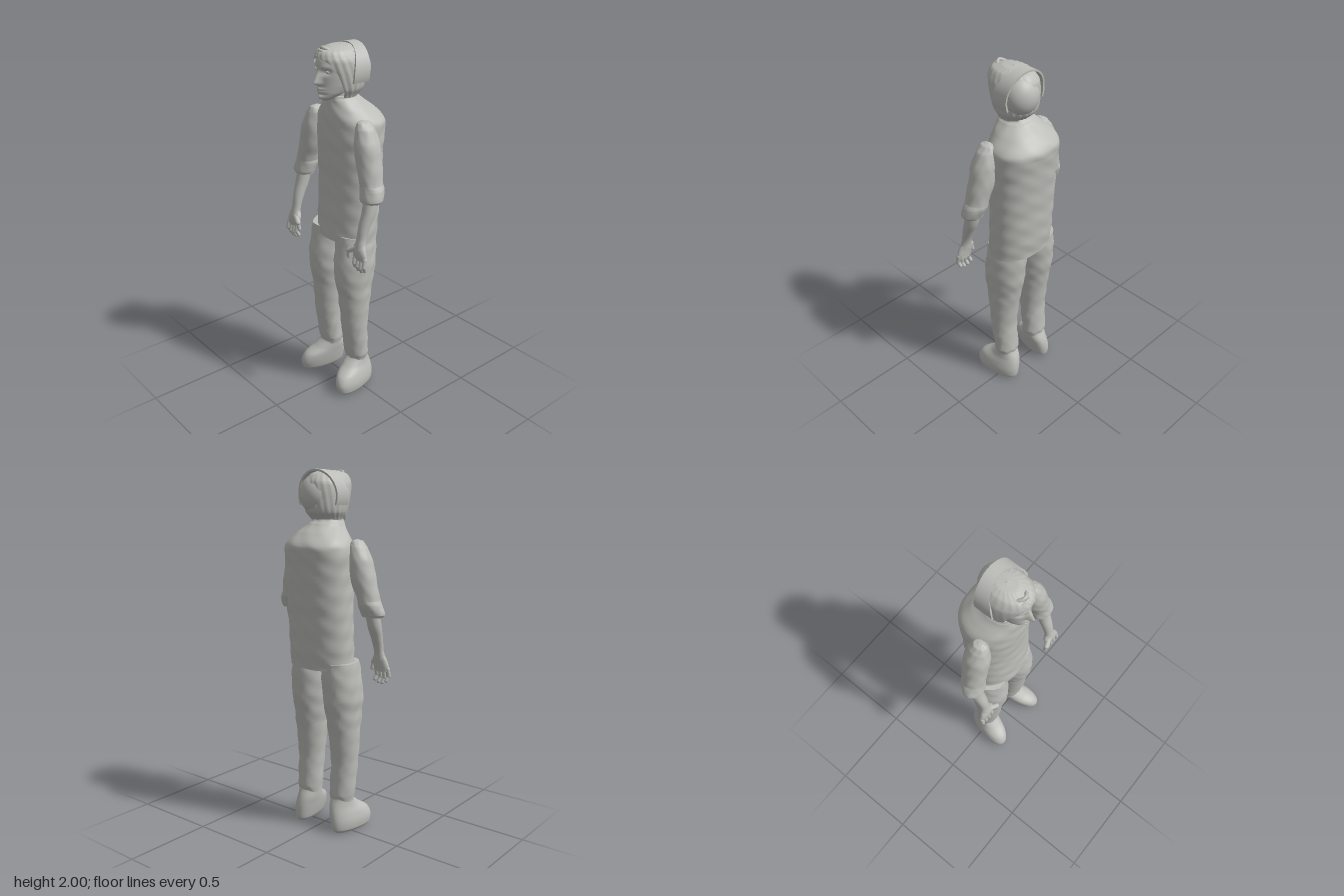
import * as THREE from 'three';

const grey = new THREE.MeshStandardMaterial({ color: 0xbcbcb8, side: THREE.DoubleSide });
grey.name = 'plain grey';

function addMesh(parent, name, geometry) {
  const mesh = new THREE.Mesh(geometry, grey);
  mesh.name = name;
  parent.add(mesh);
  return mesh;
}

// Smooth loft through sections [y, cx, cz, rx, rz, frontGap], listed bottom to top.
// frontGap is the half angle left open towards +z.
function loft(sections, { segs = 40, sub = 6, power = 2, rule = null, caps = true } = {}) {
  const at = (i, k) => sections[Math.min(Math.max(i, 0), sections.length - 1)][k] ?? 0;
  const spline = (i, f, k) => {
    const a = at(i - 1, k), b = at(i, k), c = at(i + 1, k), d = at(i + 2, k);
    const m0 = (c - a) / 2, m1 = (d - b) / 2, g = f * f, h = g * f;
    return (2 * h - 3 * g + 1) * b + (h - 2 * g + f) * m0 + (3 * g - 2 * h) * c + (h - g) * m1;
  };
  const open = sections[0].length > 5;
  const rows = (sections.length - 1) * sub, cols = open ? segs + 1 : segs;
  const pos = [], index = [];
  const round = v => Math.sign(v) * Math.abs(v) ** (2 / power);
  for (let j = 0; j <= rows; j++) {
    const i = Math.min(Math.floor(j / sub), sections.length - 2), f = j / sub - i;
    const [cx, cz, rx, rz] = [1, 2, 3, 4].map(k => spline(i, f, k));
    const y = THREE.MathUtils.lerp(at(i, 0), at(i + 1, 0), f);
    const gap = open ? Math.max(0, THREE.MathUtils.lerp(at(i, 5), at(i + 1, 5), f)) : 0;
    for (let n = 0; n < cols; n++) {
      const a = gap + (n / segs) * 2 * (Math.PI - gap);
      const p = new THREE.Vector3(cx + rx * round(Math.sin(a)), y, cz + rz * round(Math.cos(a)));
      if (rule) rule(p, a);
      pos.push(p.x, p.y, p.z);
    }
  }
  for (let j = 0; j < rows; j++) for (let n = 0; n < segs; n++) {
    const a = j * cols + n, b = j * cols + (n + 1) % cols;
    index.push(a, b, b + cols, a, b + cols, a + cols);
  }
  if (caps && !open) for (const top of [false, true]) {
    const src = top ? rows * cols : 0, base = pos.length / 3, s = sections[top ? sections.length - 1 : 0];
    pos.push(...pos.slice(src * 3, (src + cols) * 3), s[1], s[0], s[2]);
    for (let n = 0; n < cols; n++) {
      const a = base + n, b = base + (n + 1) % cols;
      index.push(base + cols, top ? a : b, top ? b : a);
    }
  }
  const g = new THREE.BufferGeometry();
  g.setAttribute('position', new THREE.Float32BufferAttribute(pos, 3));
  g.setIndex(index);
  g.computeVertexNormals();
  return g;
}

// Rounded rod between two points
function rod(parent, name, a, b, r) {
  const p = new THREE.Vector3(...a), q = new THREE.Vector3(...b);
  const mesh = addMesh(parent, name, new THREE.CapsuleGeometry(r, p.distanceTo(q), 5, 12));
  mesh.position.copy(p).lerp(q, 0.5);
  mesh.quaternion.setFromUnitVectors(new THREE.Vector3(0, 1, 0), q.sub(p).normalize());
}

// Soft cloth folds
const folds = amount => (p, a) => {
  const w = amount * (Math.sin(p.y * 55 + 3 * Math.sin(a * 2)) * Math.sin(a * 5 + p.y * 9));
  p.x += w * Math.sin(a);
  p.z += w * Math.cos(a);
};

const bump = (v, centre, width) => Math.exp(-(((v - centre) / width) ** 2));

// Nose, eye sockets, brows, mouth and chin pressed into the front of the head
function faceRule(p) {
  if (p.z < 0.07) return;
  const x = Math.abs(p.x), y = p.y;
  const nose = y > 1.815 ? Math.max(0, 1 - (y - 1.815) / 0.075) : Math.max(0, 1 - (1.815 - y) / 0.016);
  p.z += 0.042 * nose * bump(x, 0, 0.015)
    - 0.014 * bump(x, 0.036, 0.02) * bump(y, 1.872, 0.014)
    + 0.005 * bump(x, 0.036, 0.03) * bump(y, 1.897, 0.01)
    + 0.009 * bump(x, 0, 0.026) * (bump(y, 1.785, 0.006) + bump(y, 1.77, 0.007))
    - 0.005 * bump(x, 0, 0.03) * bump(y, 1.757, 0.006)
    + 0.006 * bump(x, 0, 0.02) * bump(y, 1.74, 0.01);
}

function buildHead(parent) {
  const head = new THREE.Group();
  head.name = 'head';
  parent.add(head);
  addMesh(head, 'neck', loft([[1.62, 0, 0.02, 0.085, 0.08], [1.72, 0, 0.02, 0.064, 0.07], [1.82, 0, 0.02, 0.06, 0.07]]));
  addMesh(head, 'face', loft([
    [1.722, 0, 0.105, 0.02, 0.03], [1.735, 0, 0.1, 0.04, 0.055], [1.76, 0, 0.07, 0.062, 0.087],
    [1.8, 0, 0.045, 0.079, 0.112], [1.86, 0, 0.04, 0.089, 0.12], [1.92, 0, 0.04, 0.09, 0.12],
    [1.96, 0, 0.035, 0.07, 0.1], [1.98, 0, 0.03, 0.03, 0.05],
  ], { segs: 96, sub: 9, rule: faceRule }));
  for (const s of [-1, 1]) {
    const eye = addMesh(head, 'eye', new THREE.SphereGeometry(0.013, 16, 12));
    eye.scale.set(1.1, 0.65, 0.8);
    eye.position.set(s * 0.036, 1.872, 0.133);
  }
  // Hair open around the face
  addMesh(head, 'hair', loft([
    [1.735, 0.005, 0.02, 0.085, 0.075, 1.0], [1.78, 0.005, 0.015, 0.108, 0.115, 1.0],
    [1.86, 0.005, 0.022, 0.117, 0.133, 0.85], [1.92, 0.005, 0.028, 0.113, 0.14, 0.55],
    [1.945, 0.005, 0.032, 0.102, 0.137, 0], [1.975, 0.005, 0.037, 0.08, 0.115, 0],
    [1.992, 0.005, 0.03, 0.045, 0.06, 0], [1.996, 0.005, 0.03, 0.001, 0.001, 0],
  ], { segs: 72, rule: (p, a) => {
    const w = 0.002 * Math.sin(a * 22 + p.y * 30);
    p.x += w * Math.sin(a);
    p.z += w * Math.cos(a);
  } }));
  // Gathered hair at the back of the head
  const bun = addMesh(head, 'backHair', new THREE.SphereGeometry(1, 36, 24));
  bun.scale.set(0.095, 0.105, 0.09);
  bun.position.set(0.025, 1.87, -0.04);
  // Broad band over the crown, narrower at the top
  const band = new THREE.BoxGeometry(2, 1, 2, 48, 1, 6), v = band.attributes.position;
  for (let i = 0; i < v.count; i++) {
    const a = v.getX(i) * 1.95, t = v.getY(i) * 0.01, u = (v.getZ(i) + 1) / 2;
    const crown = Math.max(0, Math.cos(a)) ** 1.5;
    v.setXYZ(i, 0.008 + (0.128 + t) * Math.sin(a), 1.865 + (0.13 + t) * Math.cos(a),
      THREE.MathUtils.lerp(-0.055 - 0.02 * crown, 0.045 - 0.06 * crown, u));
  }
  band.computeVertexNormals();
  addMesh(head, 'crownBand', band);
  // Locks across the forehead
  for (const [i, y] of [1.94, 1.965, 1.98].entries()) {
    const w = 0.075 - i * 0.015, z = 0.16 - i * 0.012;
    const path = new THREE.CatmullRomCurve3([[-w, y - 0.02, z - 0.06], [-w / 2, y, z - 0.012], [0, y + 0.008, z], [w / 2, y, z - 0.012], [w, y - 0.02, z - 0.06]]
      .map(p => new THREE.Vector3(...p)));
    addMesh(head, 'foreheadLock', new THREE.TubeGeometry(path, 24, 0.009, 8));
  }
}

function buildArm(parent, s) {
  const arm = new THREE.Group();
  arm.name = s > 0 ? 'leftArm' : 'rightArm';
  parent.add(arm);
  const side = list => list.map(([y, x, ...rest]) => [y, s * x, ...rest]);
  addMesh(arm, 'sleeve', loft(side([
    [1.235, 0.28, 0.052, 0.06, 0.05], [1.25, 0.282, 0.052, 0.068, 0.056], [1.3, 0.272, 0.04, 0.066, 0.062],
    [1.325, 0.264, 0.037, 0.061, 0.062], [1.43, 0.235, 0.03, 0.069, 0.068], [1.53, 0.216, 0.028, 0.064, 0.068],
    [1.6, 0.2, 0.028, 0.046, 0.052], [1.632, 0.192, 0.028, 0.026, 0.036], [1.64, 0.19, 0.028, 0.006, 0.01],
  ]), { rule: folds(0.002) }));
  addMesh(arm, 'forearm', loft(side([
    [0.99, 0.282, 0.125, 0.034, 0.025], [1.04, 0.28, 0.115, 0.028, 0.024], [1.1, 0.281, 0.098, 0.031, 0.031],
    [1.18, 0.283, 0.068, 0.037, 0.039], [1.27, 0.28, 0.05, 0.038, 0.04],
  ])));
  addMesh(arm, 'palm', loft(side([
    [0.925, 0.293, 0.128, 0.04, 0.017], [0.95, 0.288, 0.13, 0.048, 0.021], [0.985, 0.279, 0.128, 0.046, 0.024], [1.02, 0.28, 0.12, 0.03, 0.023],
  ])));
  // Curled fingers and an inward thumb
  for (let i = 0; i < 4; i++) {
    const x = 0.253 + i * 0.025, low = [0.9, 0.89, 0.888, 0.9][i];
    rod(arm, 'finger', [s * x, 0.94, 0.132], [s * (x + 0.002), low, 0.14], 0.0125);
    rod(arm, 'fingertip', [s * (x + 0.002), low, 0.14], [s * (x - 0.005), low - 0.026, 0.128], 0.0105);
  }
  rod(arm, 'thumb', [s * 0.262, 0.99, 0.135], [s * 0.222, 0.965, 0.15], 0.015);
  rod(arm, 'thumbTip', [s * 0.222, 0.965, 0.15], [s * 0.216, 0.928, 0.147], 0.011);
}

function buildLeg(parent, s) {
  const leg = new THREE.Group();
  leg.name = s > 0 ? 'leftLeg' : 'rightLeg';
  leg.position.x = s > 0 ? -0.005 : -0.015;
  parent.add(leg);
  addMesh(leg, 'trouserLeg', loft([
    [0.18, s * 0.11, -0.005, 0.068, 0.058], [0.22, s * 0.112, -0.004, 0.074, 0.066], [0.4, s * 0.114, 0.012, 0.078, 0.073],
    [0.6, s * 0.111, 0.01, 0.09, 0.093], [0.7, s * 0.107, 0.01, 0.098, 0.113], [0.78, s * 0.107, 0.006, 0.105, 0.122],
    [0.9, s * 0.102, -0.004, 0.103, 0.12], [0.98, s * 0.1, -0.01, 0.095, 0.115],
  ], { rule: folds(0.003) }));
  // Shoe with the toe turned out
  const shoe = addMesh(leg, 'shoe', loft([
    [0, s * 0.028, 0.04, 0.042, 0.118], [0.02, s * 0.026, 0.04, 0.058, 0.136], [0.065, s * 0.022, 0.04, 0.066, 0.141],
    [0.11, s * 0.014, 0.03, 0.066, 0.128], [0.15, s * 0.005, 0.005, 0.062, 0.092], [0.2, 0, -0.008, 0.06, 0.056],
  ], { power: 2.2 }));
  shoe.position.x = s * 0.113;
  shoe.rotation.y = s * 0.18;
}

export function createModel() {
  const model = new THREE.Group();
  model.name = 'standingFigure';
  // Sleeveless padded vest with sloping shoulders
  addMesh(model, 'vest', loft([
    [0.94, 0.007, -0.015, 0.192, 0.13], [1.05, 0.007, -0.023, 0.193, 0.133], [1.25, 0.007, -0.033, 0.194, 0.136],
    [1.45, 0.008, -0.037, 0.194, 0.148], [1.57, 0.008, -0.042, 0.196, 0.155], [1.615, 0.008, -0.042, 0.185, 0.153],
    [1.67, 0.004, -0.018, 0.138, 0.127], [1.72, 0, 0.012, 0.092, 0.093], [1.74, 0, 0.022, 0.078, 0.08],
  ], { segs: 72, sub: 10, power: 2.2, rule: folds(0.0025) }));
  buildHead(model);
  for (const s of [-1, 1]) {
    buildArm(model, s);
    buildLeg(model, s);
  }
  return model;
}
